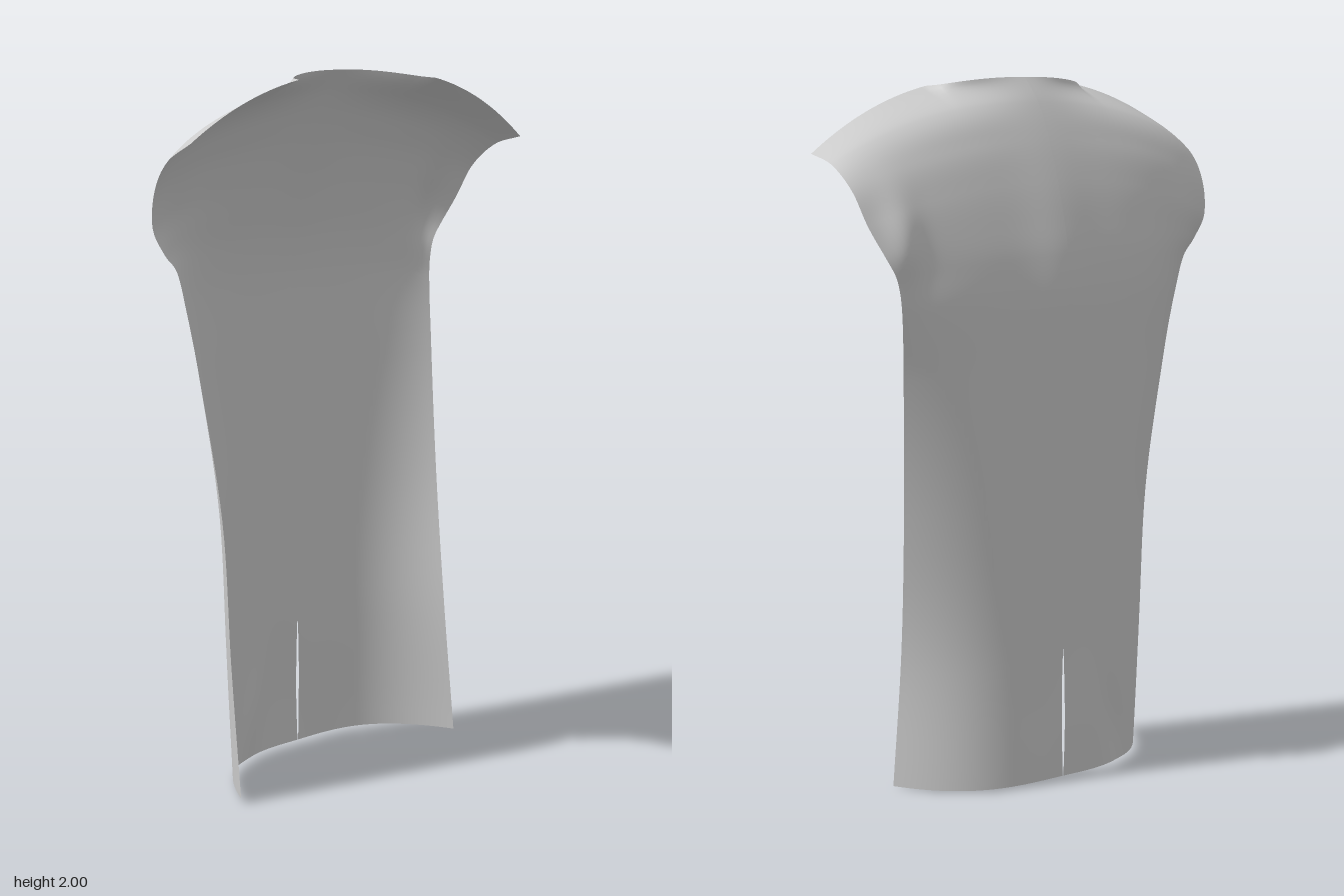
import * as THREE from 'three';

// Rows from hem to neckline:
// centre y, z | left edge x, y, z | right edge x, y, z | neckline influence
const ROWS = [
  [0.01, -0.145, 0.422, 0.0, 0.078, -0.43, 0.015, 0.105, 0],
  [0.4, -0.145, 0.412, 0.4, 0.04, -0.44, 0.4, 0.08, 0],
  [0.8, -0.155, 0.435, 0.8, -0.025, -0.445, 0.8, 0.055, 0],
  [1.2, -0.17, 0.465, 1.2, -0.085, -0.49, 1.2, 0.02, 0],
  [1.4, -0.176, 0.482, 1.38, -0.11, -0.51, 1.38, -0.005, 0],
  [1.52, -0.165, 0.497, 1.47, -0.105, -0.525, 1.48, -0.02, 0],
  [1.62, -0.142, 0.53, 1.54, -0.1, -0.57, 1.53, -0.015, 0],
  [1.72, -0.112, 0.565, 1.62, -0.08, -0.6, 1.6, -0.025, 0],
  [1.83, -0.07, 0.588, 1.71, -0.04, -0.61, 1.7, 0.0, 0.02],
  [1.93, -0.02, 0.607, 1.775, 0.035, -0.618, 1.78, 0.07, 0.2],
  [2.0, 0.03, 0.62, 1.8, 0.122, -0.622, 1.83, 0.175, 1],
];
const NECK = 0.4; // share of the half width taken by the neckline
const COLS = 40, STEPS = 8;
const CENTRE_X = -0.015;

const bump = (a, a0, wa, b, b0, wb) =>
  Math.exp(-(((a - a0) / wa) ** 2) - ((b - b0) / wb) ** 2);

// Smooth interpolation between rows, spaced by their centre height
function rowAt(s) {
  const last = ROWS.length - 1;
  const i = Math.min(Math.floor(s), last - 1), f = s - i;
  const a = ROWS[Math.max(i - 1, 0)], b = ROWS[i], c = ROWS[i + 1], d = ROWS[Math.min(i + 2, last)];
  const span = c[0] - b[0];
  return b.map((_, k) => {
    const m0 = (c[k] - a[k]) * span / (c[0] - a[0]);
    const m1 = (d[k] - b[k]) * span / (d[0] - b[0]);
    return b[k] + f * (m0 + f * (3 * (c[k] - b[k]) - 2 * m0 - m1 + f * (2 * (b[k] - c[k]) + m0 + m1)));
  });
}

// Extra depth at the top: the cloth rolls forward over the shoulders and
// sharpens into the neck arc and shoulder line at the top edge
function neckOffset(t, zEdge, w) {
  const zc = 0.03, zCorner = 0.15;
  const target = t <= NECK
    ? zc + (zCorner - zc) * (1 - Math.sqrt(Math.max(0, 1 - (t / NECK) ** 2)))
    : THREE.MathUtils.lerp(zCorner, zEdge, ((t - NECK) / (1 - NECK)) ** 1.5);
  const sharp = target - (zc + (zEdge - zc) * t * t);
  const soft = 0.1 * Math.sin(Math.PI * t ** 0.9) ** 2;
  return w * THREE.MathUtils.lerp(soft, sharp, w * w);
}

function surfacePoint(side, t, s) {
  const r = rowAt(s), [yc, zc] = r, w = r[8];
  const o = side > 0 ? 2 : 5;
  const [xe, ye, ze] = [r[o], r[o + 1], r[o + 2]];
  const zTop = ROWS[ROWS.length - 1][o + 2];
  const y = yc + (ye - yc) * t ** 2.3;

  // Narrow vent at the centre of the hem
  const gap = yc < 0.4 ? 0.001 + 0.004 * Math.sin(Math.PI * yc / 0.4) : 0;
  const xc = CENTRE_X * (1 - w) + side * gap;
  const x = xc + (xe - xc) * t;

  const power = side > 0 ? 3.2 : 3.8;
  let z = zc + (ze - zc) * t ** (power + (2 - power) * w) + neckOffset(t, zTop, w);
  // Spine ridge
  z += 0.016 * (1 - Math.exp(-((x / 0.1) ** 2))) * Math.exp(-(((y - 1.4) / 0.35) ** 2)) * (1 - t * t);
  // Fullness beside the armholes
  z -= 0.026 * bump(x, 0.48, 0.05, y, 1.56, 0.12);
  z -= 0.008 * bump(x, -0.49, 0.06, y, 1.55, 0.14);
  // Soft folds at the hem
  z += 0.012 * bump(x - 0.25 * (y - 0.15), -0.2, 0.05, y, 0.14, 0.14);
  z -= 0.008 * bump(x, -0.1, 0.07, y, 0.16, 0.14);
  return [x, y, z];
}

// One half of the back panel
function halfPanel(side, name, material) {
  const pos = [], index = [];
  const rows = (ROWS.length - 1) * STEPS;
  for (let j = 0; j <= rows; j++)
    for (let i = 0; i <= COLS; i++) pos.push(...surfacePoint(side, i / COLS, j / STEPS));
  for (let j = 0; j < rows; j++)
    for (let i = 0; i < COLS; i++) {
      const a = j * (COLS + 1) + i, b = a + 1, c = a + COLS + 1, d = c + 1;
      if (side > 0) index.push(a, c, b, b, c, d);
      else index.push(a, b, c, b, d, c);
    }
  const geo = new THREE.BufferGeometry();
  geo.setAttribute('position', new THREE.Float32BufferAttribute(pos, 3));
  geo.setIndex(index);
  geo.computeVertexNormals();
  const mesh = new THREE.Mesh(geo, material);
  mesh.name = name;
  return mesh;
}

export function createModel() {
  const group = new THREE.Group();
  group.name = 'garmentBack';
  const cloth = new THREE.MeshStandardMaterial({ color: 0xcccccc, side: THREE.DoubleSide });
  group.add(halfPanel(1, 'leftBackPanel', cloth), halfPanel(-1, 'rightBackPanel', cloth));
  return group;
}
